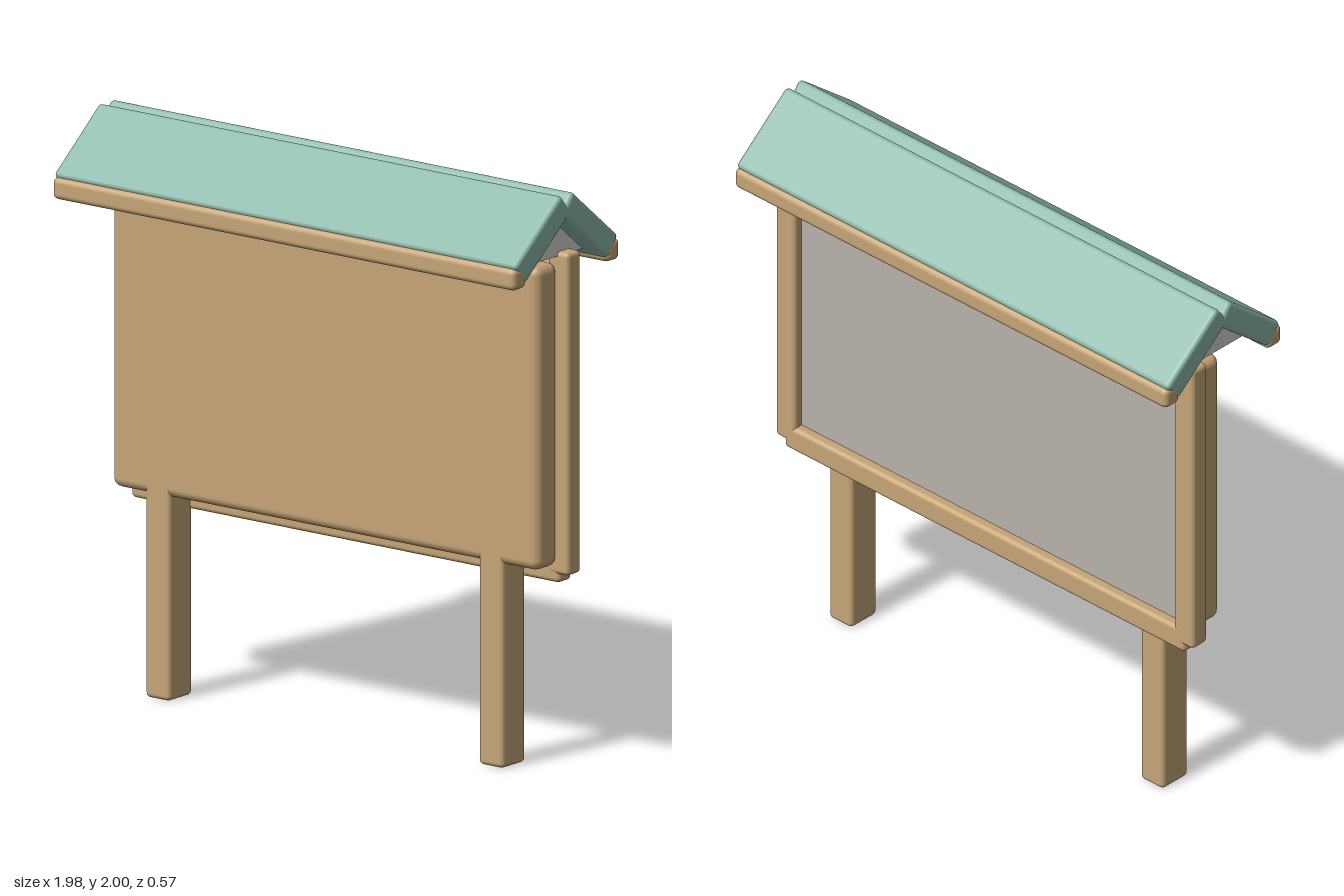
import * as THREE from 'three';
import { RoundedBoxGeometry } from 'three/addons/geometries/RoundedBoxGeometry.js';

const material = (name, color) => Object.assign(new THREE.MeshStandardMaterial({ color }), { name });

export function createModel() {
  const wood = material('wood', 0xc6a577);
  const green = material('roofGreen', 0x8cb8a9);
  const grey = material('boardGrey', 0xb8b2a9);
  const pale = material('gablePale', 0xd6d3ce);
  const model = new THREE.Group();
  model.name = 'noticeBoard';

  const add = (name, geometry, mat) => {
    const mesh = new THREE.Mesh(geometry, mat);
    mesh.name = name;
    model.add(mesh);
    return mesh;
  };
  // Rounded box given by its extents on each axis
  const block = (name, mat, [x0, x1], [y0, y1], [z0, z1], radius) => {
    const mesh = add(name, new RoundedBoxGeometry(x1 - x0, y1 - y0, z1 - z0, 3, radius), mat);
    mesh.position.set((x0 + x1) / 2, (y0 + y1) / 2, (z0 + z1) / 2);
    return mesh;
  };

  // Backing panel and display surface
  block('backingPanel', wood, [-0.912, 0.912], [0.7, 1.745], [-0.05, 0.065], 0.032);
  const board = add('displayBoard', new THREE.BoxGeometry(1.75, 0.99, 0.04), grey);
  board.position.set(0, 1.2, -0.06);

  // Posts and frame stiles
  for (const [side, s] of [['left', 1], ['right', -1]]) {
    const span = (a, b) => (s > 0 ? [a, b] : [-b, -a]);
    block(side + 'Post', wood, span(0.66, 0.764), [0, 1.735], [-0.06, 0.066], 0.016);
    block(side + 'FrameStile', wood, span(0.868, 0.955), [0.67, 1.78], [-0.117, -0.044], 0.016);
  }

  // Frame rails
  block('bottomFrameRail', wood, [-0.915, 0.915], [0.64, 0.73], [-0.117, -0.046], 0.016);
  block('topFrameRail', wood, [-0.915, 0.915], [1.65, 1.74], [-0.117, -0.046], 0.016);

  // Roof slopes with their eave trims
  const pitch = Math.atan2(0.195, 0.24);
  for (const [side, s] of [['front', 1], ['back', -1]]) {
    const slope = add(side + 'RoofSlope', new RoundedBoxGeometry(1.976, 0.092, 0.318, 3, 0.016), green);
    slope.position.set(0, 1.868, s * 0.125);
    slope.rotation.x = s * pitch;
    const z = s > 0 ? [0.212, 0.284] : [-0.284, -0.212];
    block(side + 'EaveTrim', wood, [-0.988, 0.988], [1.72, 1.795], z, 0.02);
  }

  // Triangular infill beneath the roof
  const triangle = new THREE.Shape();
  triangle.moveTo(-0.18, 1.765);
  triangle.lineTo(0.18, 1.765);
  triangle.lineTo(0, 1.915);
  const gable = add('gableInfill', new THREE.ExtrudeGeometry(triangle, { depth: 1.82, bevelEnabled: false }), pale);
  gable.rotation.y = Math.PI / 2;
  gable.position.x = -0.91;

  return model;
}
